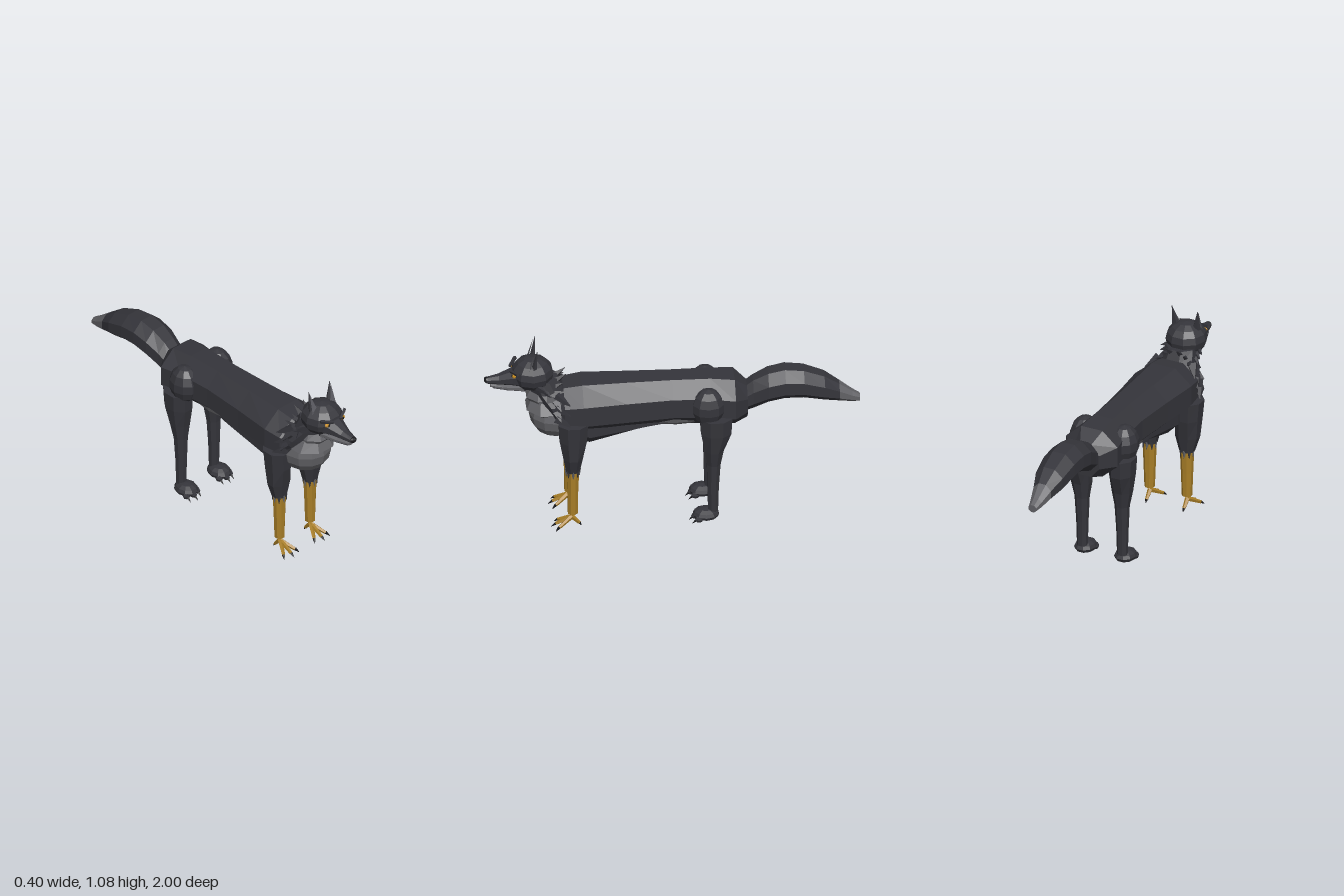
import * as THREE from 'three';

const paint = (name, color, extra = {}) => Object.assign(new THREE.MeshStandardMaterial({ color, ...extra }), { name });

export function createModel() {
  const root = new THREE.Group();
  root.name = 'clawedFox';
  const fur = paint('darkFur', 0x35353b);
  const grey = paint('greyFur', 0x626266);
  const gold = paint('goldenScales', 0xa87e27);
  const black = paint('black', 0x18181b);
  const amber = paint('amberEye', 0xc98d1e);
  const earGrey = paint('innerEar', 0x5c5c62, { side: THREE.DoubleSide });

  // Adds a faceted mesh
  function add(name, geo, mat) {
    const g = geo.index ? geo.toNonIndexed() : geo;
    g.computeVertexNormals();
    const m = new THREE.Mesh(g, mat);
    m.name = name;
    root.add(m);
    return m;
  }

  // Skin over rings [x, y, z, radiusX, otherRadius], listed front to back or top to bottom
  function loft(name, axis, rings, mat, sides = 8) {
    const pos = [], idx = [], n = rings.length, k = 1 / Math.cos(Math.PI / sides);
    for (const [x, y, z, a, b] of rings) {
      for (let j = 0; j < sides; j++) {
        const t = (j + 0.5) / sides * Math.PI * 2;
        const u = Math.cos(t) * a * k, v = Math.sin(t) * b * k;
        pos.push(x + u, axis === 'z' ? y + v : y, axis === 'z' ? z : z - v);
      }
    }
    pos.push(...rings[0].slice(0, 3), ...rings[n - 1].slice(0, 3));
    for (let j = 0; j < sides; j++) {
      const j1 = (j + 1) % sides, e = (n - 1) * sides;
      for (let i = 0; i < n - 1; i++) {
        const p = i * sides, q = p + sides;
        idx.push(p + j, q + j, p + j1, p + j1, q + j, q + j1);
      }
      idx.push(n * sides, j, j1, n * sides + 1, e + j1, e + j);
    }
    const g = new THREE.BufferGeometry();
    g.setAttribute('position', new THREE.Float32BufferAttribute(pos, 3));
    g.setIndex(idx);
    return add(name, g, mat);
  }

  function ball(name, c, r, mat, w = 10, h = 7) {
    return add(name, new THREE.SphereGeometry(1, w, h).scale(...r).translate(...c), mat);
  }

  // Tapered rod or spike between two points
  function rod(name, from, to, r0, r1, mat, sides = 5) {
    const a = new THREE.Vector3(...from), b = new THREE.Vector3(...to);
    const d = b.clone().sub(a);
    const g = new THREE.CylinderGeometry(r1, r0, d.length(), sides);
    g.applyQuaternion(new THREE.Quaternion().setFromUnitVectors(new THREE.Vector3(0, 1, 0), d.normalize()));
    g.translate(...a.add(b).multiplyScalar(0.5).toArray());
    return add(name, g, mat);
  }

  // Torso, belly and chest
  loft('torso', 'z', [
    [0, 0.69, 0.64, 0.10, 0.10], [0, 0.70, 0.58, 0.155, 0.135], [0, 0.71, 0.48, 0.168, 0.14],
    [0, 0.71, 0.25, 0.145, 0.14], [0, 0.715, 0.0, 0.13, 0.135], [0, 0.71, -0.2, 0.135, 0.14],
    [0, 0.705, -0.33, 0.155, 0.135], [0, 0.685, -0.4, 0.08, 0.095]], fur);
  loft('belly', 'z', [
    [0, 0.62, 0.58, 0.09, 0.10], [0, 0.59, 0.44, 0.11, 0.11],
    [0, 0.62, 0.12, 0.10, 0.055], [0, 0.62, 0.0, 0.08, 0.04]], fur);
  ball('bellyPatch', [0, 0.64, -0.02], [0.112, 0.074, 0.3], grey, 10, 8);
  ball('chest', [0, 0.655, 0.615], [0.137, 0.135, 0.145], grey, 12, 8);

  // Neck with a layered grey bib
  loft('neck', 'y', [
    [0, 0.88, 0.69, 0.08, 0.08], [0, 0.81, 0.66, 0.095, 0.09],
    [0, 0.75, 0.60, 0.13, 0.12], [0, 0.66, 0.56, 0.14, 0.12]], fur);
  loft('upperBib', 'y', [
    [0, 0.825, 0.69, 0.065, 0.06], [0, 0.77, 0.68, 0.088, 0.095], [0, 0.745, 0.67, 0.085, 0.085]], grey);
  loft('lowerBib', 'y', [
    [0, 0.76, 0.67, 0.09, 0.08], [0, 0.70, 0.66, 0.125, 0.115], [0, 0.685, 0.65, 0.11, 0.10]], grey);

  // Head, muzzle and nose
  ball('head', [0, 0.905, 0.742], [0.113, 0.094, 0.115], fur, 10, 8);
  loft('muzzle', 'z', [
    [0, 0.867, 0.985, 0.018, 0.017], [0, 0.872, 0.92, 0.033, 0.026],
    [0, 0.885, 0.85, 0.055, 0.043], [0, 0.89, 0.77, 0.085, 0.06]], fur);
  loft('lowerJaw', 'z', [
    [0, 0.838, 0.965, 0.016, 0.010], [0, 0.832, 0.89, 0.036, 0.014],
    [0, 0.835, 0.79, 0.06, 0.022]], grey);
  loft('chin', 'z', [
    [0, 0.827, 0.95, 0.014, 0.008], [0, 0.822, 0.88, 0.03, 0.011], [0, 0.828, 0.78, 0.055, 0.02]], fur);
  ball('nose', [0, 0.87, 0.983], [0.021, 0.017, 0.017], black, 7, 5);

  // Tail with a pale tip
  loft('tail', 'z', [
    [0, 0.685, -0.36, 0.07, 0.07], [0, 0.725, -0.43, 0.077, 0.085], [0, 0.765, -0.51, 0.092, 0.087],
    [0, 0.785, -0.60, 0.096, 0.087], [0, 0.778, -0.70, 0.092, 0.082], [0, 0.745, -0.81, 0.08, 0.072],
    [0, 0.708, -0.89, 0.052, 0.052]], fur);
  loft('tailTip', 'z', [
    [0, 0.708, -0.89, 0.052, 0.052], [0, 0.675, -0.96, 0.033, 0.032], [0, 0.662, -1.0, 0.023, 0.02]], grey);

  for (const s of [1, -1]) {
    // Ear with a thin inner face
    const ear = new THREE.CylinderGeometry(0.002, 0.031, 0.145, 5).scale(1, 1, 0.65);
    const lean = new THREE.Matrix4().makeShear(0, 0, s * 0.14, -0.12, 0, 0);
    ear.applyMatrix4(lean).translate(s * 0.067, 1.007, 0.73);
    add('ear', ear, fur);
    const inner = new THREE.BufferGeometry();
    const pts = [[0.041, 0.96, 0.762], [0.085, 0.96, 0.762], [0.077, 1.066, 0.731]];
    inner.setAttribute('position', new THREE.Float32BufferAttribute(
      pts.flatMap(([x, y, z]) => [x * s, y, z]), 3));
    if (s < 0) inner.setIndex([0, 2, 1]);
    add('innerEar', inner, earGrey);

    // Eye, pupil and brow
    ball('eye', [s * 0.055, 0.92, 0.842], [0.017, 0.012, 0.012], amber, 6, 4);
    ball('pupil', [s * 0.051, 0.92, 0.852], [0.006, 0.009, 0.005], black, 6, 4);
    rod('brow', [s * 0.025, 0.932, 0.86], [s * 0.088, 0.947, 0.825], 0.008, 0.011, fur, 4);

    // Cheek tufts and neck ruff
    for (let i = 0; i < 3; i++) {
      rod('cheekTuft', [s * 0.08, 0.86 - i * 0.015, 0.72 - i * 0.02],
        [s * (0.125 - i * 0.005), 0.855 - i * 0.022, 0.68 - i * 0.015], 0.02, 0.001, fur, 4);
    }
    for (let i = 0; i < 4; i++) {
      const x = s * (0.025 + i * 0.025);
      rod('ruffSpike', [x, 0.85 - i * 0.02, 0.635 + i * 0.01],
        [x * 1.3, 0.905 - i * 0.035, 0.565 + (i % 2) * 0.02], 0.026, 0.001, fur, 4);
    }
    for (let i = 0; i < 5; i++) {
      const y = 0.81 - i * 0.028;
      rod('shoulderFeather', [s * (0.10 + i * 0.01), y, 0.62],
        [s * (0.15 + i * 0.008), y - 0.035, 0.55 + (i % 2) * 0.05], 0.032, 0.002, fur, 4);
    }

    // Feathered foreleg over a scaly shank
    loft('forelegUpper', 'y', [
      [s * 0.132, 0.657, 0.535, 0.068, 0.078], [s * 0.125, 0.55, 0.535, 0.065, 0.072],
      [s * 0.115, 0.44, 0.535, 0.065, 0.052], [s * 0.112, 0.35, 0.535, 0.04, 0.036]], fur);
    loft('forelegShank', 'y', [
      [s * 0.112, 0.355, 0.535, 0.036, 0.033], [s * 0.112, 0.22, 0.535, 0.031, 0.028],
      [s * 0.112, 0.085, 0.535, 0.026, 0.026]], gold);
    for (let i = 0; i < 8; i++) {
      const c = Math.cos(i * Math.PI / 4), d = Math.sin(i * Math.PI / 4);
      rod('legFringe', [s * 0.112 + c * 0.031, 0.36, 0.535 + d * 0.03],
        [s * 0.112 + c * 0.038, 0.315, 0.535 + d * 0.036], 0.014, 0.001, i % 2 ? fur : grey, 4);
    }

    // Bird foot: three toes forward, one back
    for (const [dx, dz] of [[-0.042, 0.07], [0, 0.085], [0.042, 0.07], [0, -0.04]]) {
      const x = s * 0.112;
      rod('toe', [x, 0.062, 0.54], [x + dx, 0.02, 0.54 + dz], 0.014, 0.009, gold);
      rod('talon', [x + dx, 0.021, 0.54 + dz], [x + dx * 1.3, 0.003, 0.54 + dz * 1.28], 0.009, 0.001, black, 4);
    }

    // Hind leg with rounded hip and paw
    ball('hip', [s * 0.118, 0.715, -0.185], [0.08, 0.108, 0.09], fur, 10, 7);
    loft('hindLeg', 'y', [
      [s * 0.13, 0.655, -0.225, 0.068, 0.085], [s * 0.128, 0.56, -0.225, 0.064, 0.08],
      [s * 0.122, 0.45, -0.215, 0.054, 0.05], [s * 0.12, 0.36, -0.213, 0.038, 0.036],
      [s * 0.12, 0.22, -0.21, 0.031, 0.03], [s * 0.12, 0.07, -0.21, 0.027, 0.026]], fur);
    ball('paw', [s * 0.12, 0.05, -0.172], [0.06, 0.035, 0.072], fur, 10, 6);
    for (const dx of [-0.038, 0, 0.038]) {
      const x = s * 0.12 + dx, z = -0.118 - Math.abs(dx) * 0.4;
      ball('pawToe', [x, 0.037, z], [0.019, 0.02, 0.024], fur, 6, 4);
      rod('pawClaw', [x, 0.034, z + 0.012], [x, 0.012, z + 0.036], 0.009, 0.001, black, 4);
    }
  }
  return root;
}
